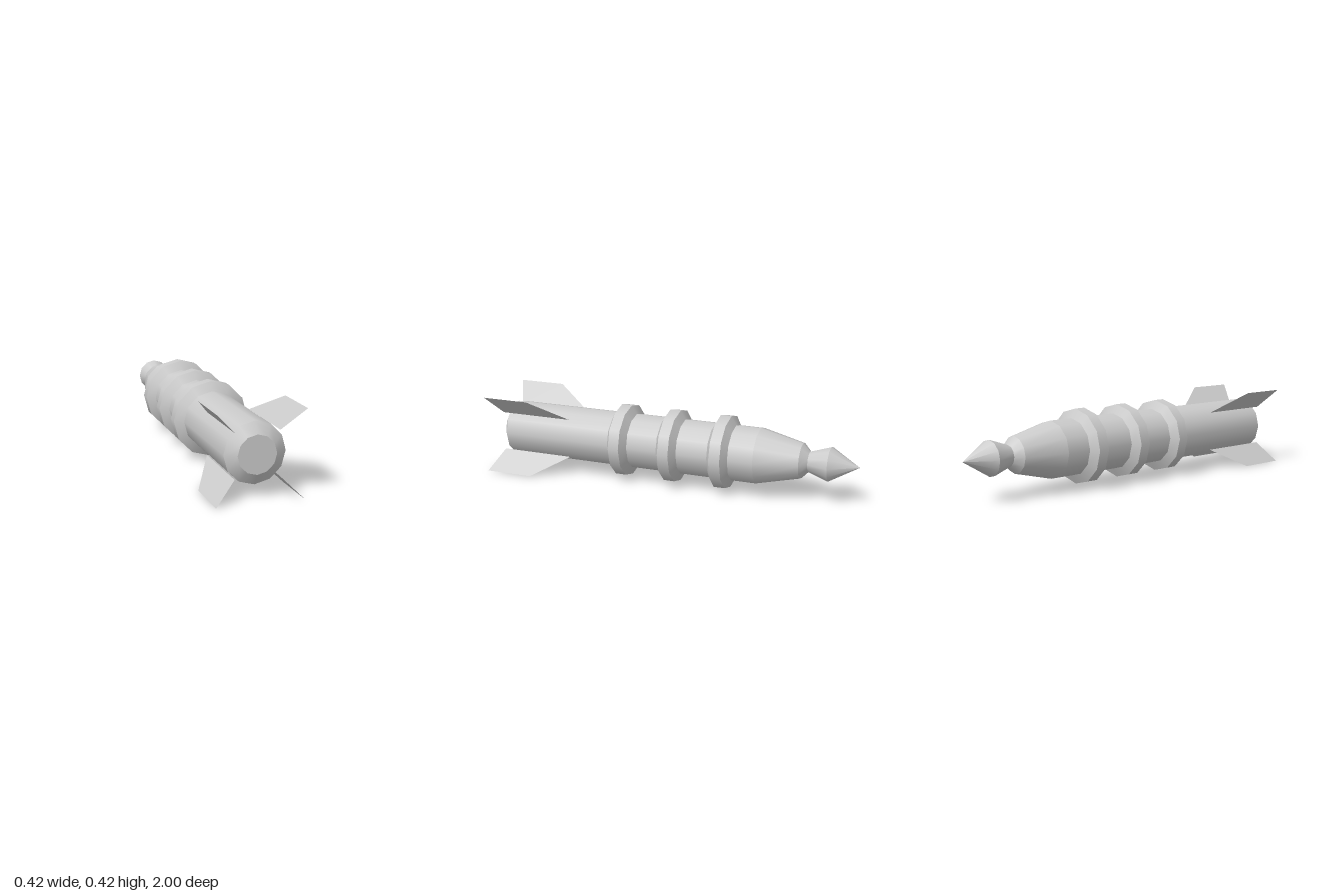
import * as THREE from 'three';

const AXIS_Y = 0.208;
const SIDES = 12;
const BODY_R = 0.146;

export function createModel() {
  const model = new THREE.Group();
  model.name = 'missile';
  const grey = new THREE.MeshStandardMaterial({ color: 0xcccccc, side: THREE.DoubleSide });
  grey.name = 'grey';

  // Revolves a [z, radius] profile from tail to nose; each band keeps its own sharp ends
  function turned(name, profile) {
    const part = new THREE.Group();
    part.name = name;
    for (let i = 0; i < profile.length - 1; i++) {
      const points = [profile[i], profile[i + 1]].map(([z, r]) => new THREE.Vector2(r, -z));
      const geometry = new THREE.LatheGeometry(points, SIDES);
      geometry.rotateX(-Math.PI / 2);
      const band = new THREE.Mesh(geometry, grey);
      band.name = name + 'Band';
      part.add(band);
    }
    part.position.y = AXIS_Y;
    model.add(part);
  }

  // Tail cap, main tube, tapered nose and pointed tip
  turned('tail', [[0.943, 0], [0.943, 0.092], [0.908, BODY_R]]);
  turned('body', [[0.908, BODY_R], [-0.49, BODY_R]]);
  turned('nose', [[-0.49, BODY_R], [-0.71, 0.092], [-0.747, 0.053]]);
  turned('tip', [[-0.747, 0.053], [-0.852, 0.089], [-1, 0]]);

  // Three bevelled collars
  for (const z of [0.249, -0.027, -0.304]) {
    turned('collar', [
      [z + 0.055, BODY_R], [z + 0.029, 0.192], [z - 0.029, 0.192], [z - 0.055, BODY_R],
    ]);
  }

  // Four swept sheet fins on the diagonals
  const outline = [[0.148, 0.545], [0.294, 0.742], [0.294, 1], [0.148, 0.943]];
  const shape = new THREE.Shape(outline.map(([r, z]) => new THREE.Vector2(r, -z)));
  for (let i = 0; i < 4; i++) {
    const geometry = new THREE.ShapeGeometry(shape);
    geometry.rotateX(-Math.PI / 2);
    geometry.rotateZ(Math.PI / 4 + i * Math.PI / 2);
    const fin = new THREE.Mesh(geometry, grey);
    fin.name = 'fin';
    fin.position.y = AXIS_Y;
    model.add(fin);
  }

  return model;
}
